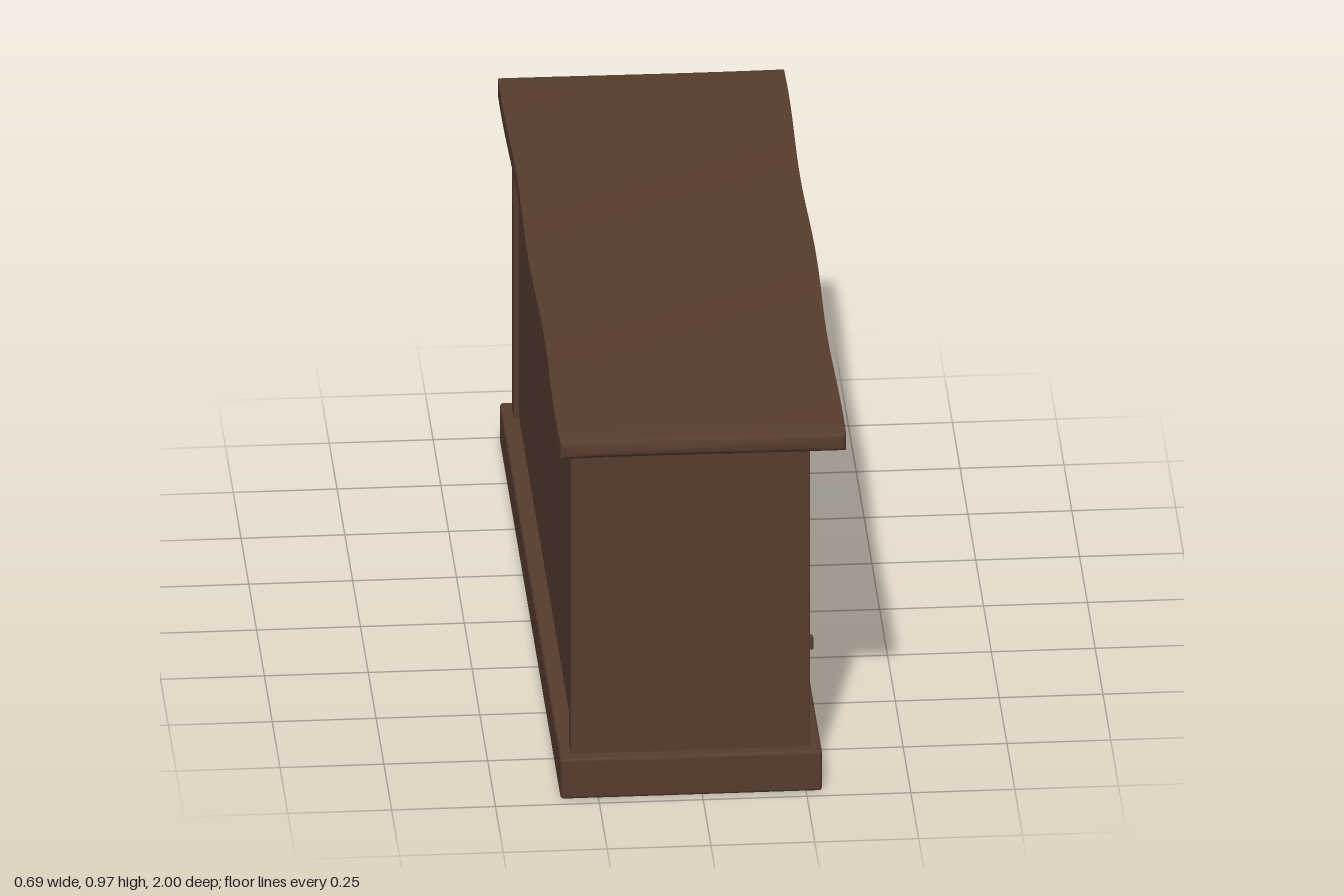
import * as THREE from 'three';
import { toCreasedNormals } from 'three/addons/utils/BufferGeometryUtils.js';
import { RoundedBoxGeometry } from 'three/addons/geometries/RoundedBoxGeometry.js';

const CX = -0.0265; // centre of the carcass across its depth

function rect(Type, x0, x1, y0, y1) {
  return new Type([[x0, y0], [x1, y0], [x1, y1], [x0, y1]].map(p => new THREE.Vector2(...p)));
}

// Flat board with an optional rectangular opening, facing +z
function board(outer, hole, depth, bevel = 0.003) {
  const [a, b, c, d] = outer;
  const shape = rect(THREE.Shape, a + bevel, b - bevel, c + bevel, d - bevel);
  if (hole) {
    const [e, f, g, h] = hole;
    shape.holes.push(rect(THREE.Path, e - bevel, f + bevel, g - bevel, h + bevel));
  }
  return new THREE.ExtrudeGeometry(shape, {
    depth: depth - bevel, bevelEnabled: true, bevelSize: bevel, bevelThickness: bevel, bevelSegments: 1,
  });
}

// Raised field with wide sloping edges
function raisedField(x0, x1, y0, y1, slope, height) {
  return new THREE.ExtrudeGeometry(rect(THREE.Shape, x0 + slope, x1 - slope, y0 + slope, y1 - slope), {
    depth: 0.001, bevelEnabled: true, bevelSize: slope, bevelThickness: height, bevelSegments: 1,
  });
}

// Thick top with a rounded edge and a gently worn, uneven outline
function wornTop() {
  const r = 0.014, hx = 0.342 - r, hy = 0.0235 - r;
  const shape = new THREE.Shape();
  const across = 10;
  for (let i = 0; i <= across; i++) shape[i ? 'lineTo' : 'moveTo'](-hx + 2 * hx * i / across, -hy);
  for (let i = across; i >= 0; i--) shape.lineTo(-hx + 2 * hx * i / across, hy);
  const g = new THREE.ExtrudeGeometry(shape, {
    depth: 2 - 2 * r, steps: 32, bevelEnabled: true, bevelSize: r, bevelThickness: r, bevelSegments: 4,
  });
  g.translate(0, 0.942, -1 + r);
  const p = g.attributes.position;
  for (let i = 0; i < p.count; i++) {
    const x = p.getX(i), z = p.getZ(i);
    p.setX(i, x + 0.003 * Math.sin(z * 7 + x * 4));
    p.setY(i, p.getY(i) + 0.002 * Math.sin(z * 9 + x * 5) + 0.003 * x);
  }
  return toCreasedNormals(g, 0.7);
}

export function createModel() {
  const model = new THREE.Group();
  const wood = new THREE.MeshStandardMaterial({ color: 0x563c2e });
  wood.name = 'darkWood';

  function add(parent, name, geometry, x = 0, y = 0, z = 0) {
    const mesh = new THREE.Mesh(geometry, wood);
    mesh.name = name;
    mesh.position.set(x, y, z);
    parent.add(mesh);
    return mesh;
  }
  function group(name) {
    const g = new THREE.Group();
    g.name = name;
    model.add(g);
    return g;
  }

  // Plinth, carcass and top
  add(model, 'plinth', new RoundedBoxGeometry(0.63, 0.107, 1.95, 2, 0.008), CX, 0.0535, 0);
  add(model, 'carcass', new THREE.BoxGeometry(0.55, 0.82, 1.86), CX, 0.515, 0);
  add(model, 'top', wornTop());

  // Framed panels on both ends
  for (const side of [1, -1]) {
    const end = group(side > 0 ? 'frontEnd' : 'backEnd');
    end.position.set(CX, 0, side * 0.925);
    if (side < 0) end.rotation.y = Math.PI;
    add(end, 'endFrame', board([-0.288, 0.288, 0.09, 0.925], [-0.219, 0.219, 0.095, 0.84], 0.02));
  }

  // Plain back between two corner posts
  for (const z of [0.915, -0.915]) {
    add(model, 'backPost', new RoundedBoxGeometry(0.03, 0.82, 0.06, 1, 0.003), -0.3, 0.515, z);
  }

  // Door side, drawn facing +z and turned to face +x (its local x is -z)
  const face = group('doorSide');
  face.rotation.y = Math.PI / 2;
  face.position.x = 0.23;
  for (const s of [1, -1]) {
    add(face, 'cornerPost', board([s * 0.915 - 0.03, s * 0.915 + 0.03, 0.09, 0.925], null, 0.032));
  }
  add(face, 'topRail', board([-0.885, 0.885, 0.899, 0.925], null, 0.03));

  const seams = [-0.884, -0.455, -0.005, 0.44, 0.884];
  const panels = [-0.68, -0.23, 0.23, 0.675];
  panels.forEach((c, i) => {
    const w = 0.165, y0 = 0.175, y1 = 0.835, m = 0.018;
    const hole = [c - w, c + w, y0, y1];
    add(face, 'doorFrame', board([seams[i] + 0.002, seams[i + 1] - 0.002, 0.1, 0.898], hole, 0.029));
    // Raised moulding around the opening
    add(face, 'doorMoulding', board([c - w - 0.012, c + w + 0.012, y0 - 0.012, y1 + 0.012],
      [c - w + m, c + w - m, y0 + m, y1 - m], 0.033, 0.006));
    add(face, 'doorPanel', raisedField(c - w + 0.022, c + w - 0.022, y0 + 0.022, y1 - 0.022, 0.02, 0.013), 0, 0, 0.01);
  });

  // Small pulls and hinges
  const pull = new THREE.SphereGeometry(0.012, 12, 8);
  for (const x of [-0.035, 0.425, 0.468]) {
    const knob = add(face, 'pull', pull, x, 0.72, 0.036);
    knob.scale.y = 1.6;
    add(face, 'pullDrop', new THREE.CylinderGeometry(0.004, 0.006, 0.035, 8), x, 0.695, 0.036);
  }
  for (const [x, y] of [[-0.462, 0.72], [-0.475, 0.335], [-0.905, 0.365]]) {
    add(face, 'hinge', new RoundedBoxGeometry(0.016, 0.036, 0.018, 1, 0.004), x, y, 0.033);
  }
  return model;
}
